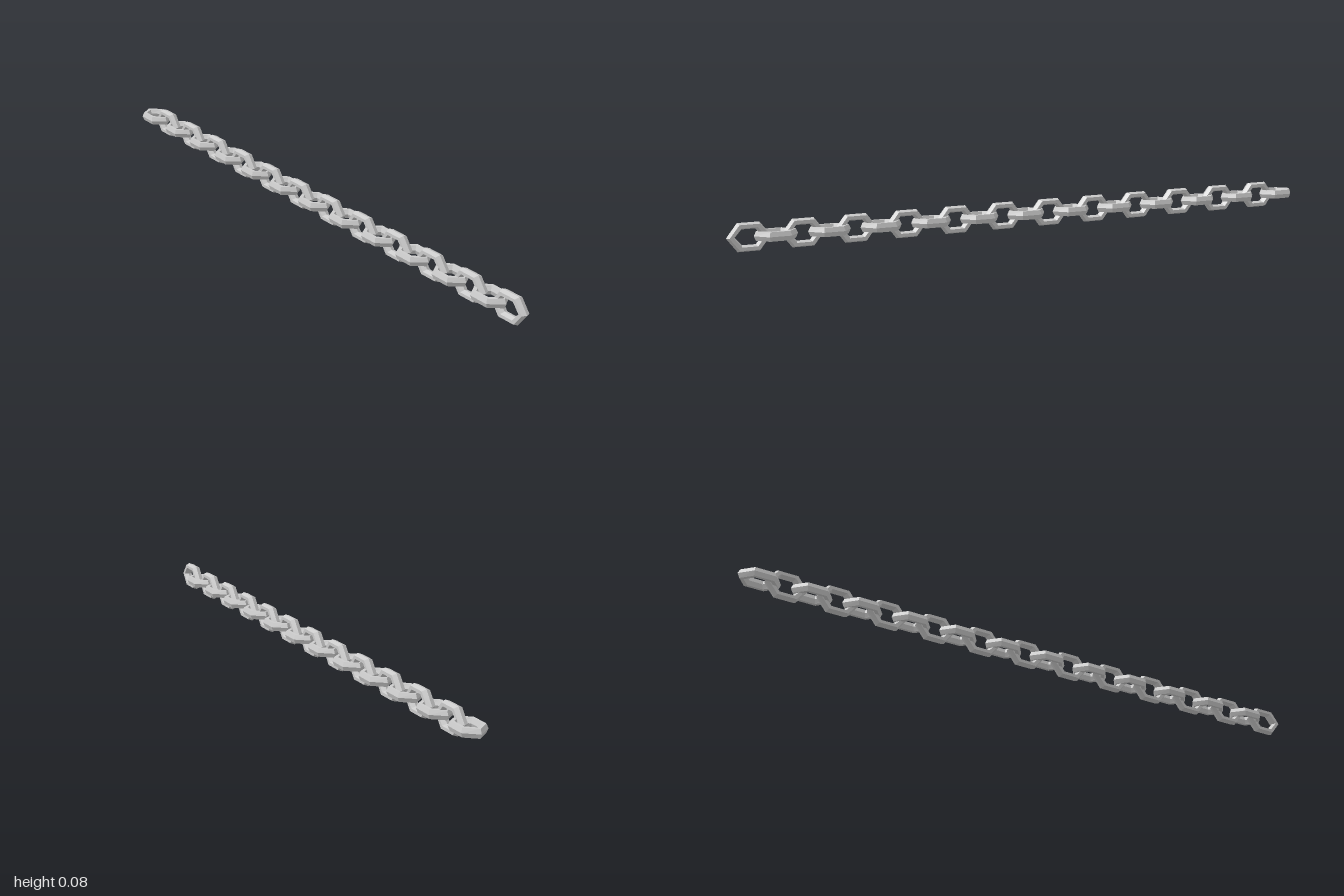
import * as THREE from 'three';

const LINKS = 24;
const HALF_LENGTH = 0.066;
const HALF_HEIGHT = 0.0415;
const SIDES = 6;

// Six-sided stretched ring with a hexagonal section, lying in the xy plane
function linkGeometry() {
  const geo = new THREE.TorusGeometry(1, 0.25, SIDES, SIDES);
  const pos = geo.attributes.position;
  const uv = geo.attributes.uv;
  const rx = 0.0127, ry = 0.011, rz = 0.0156; // wire radii
  const cx = HALF_LENGTH - rx;
  const cy = HALF_HEIGHT / Math.sin(Math.PI / 3) - ry;
  for (let i = 0; i < pos.count; i++) {
    const around = uv.getX(i) * Math.PI * 2;
    const section = uv.getY(i) * Math.PI * 2;
    pos.setXYZ(
      i,
      (cx + rx * Math.cos(section)) * Math.cos(around),
      (cy + ry * Math.cos(section)) * Math.sin(around),
      rz * Math.sin(section)
    );
  }
  const flat = geo.toNonIndexed();
  flat.computeVertexNormals();
  return flat;
}

export function createModel() {
  const chain = new THREE.Group();
  chain.name = 'chain';
  const material = new THREE.MeshStandardMaterial({ color: 0xcccccc, flatShading: true });
  const geometry = linkGeometry();
  const pitch = (2 - 2 * HALF_LENGTH) / (LINKS - 1);

  // Links alternate between lying flat and standing upright
  for (let i = 0; i < LINKS; i++) {
    const link = new THREE.Mesh(geometry, material);
    const lying = i % 2 === 0;
    link.name = lying ? 'flatLink' : 'uprightLink';
    link.position.set(-1 + HALF_LENGTH + i * pitch, HALF_HEIGHT, 0);
    if (lying) link.rotation.x = Math.PI / 2;
    chain.add(link);
  }
  return chain;
}
